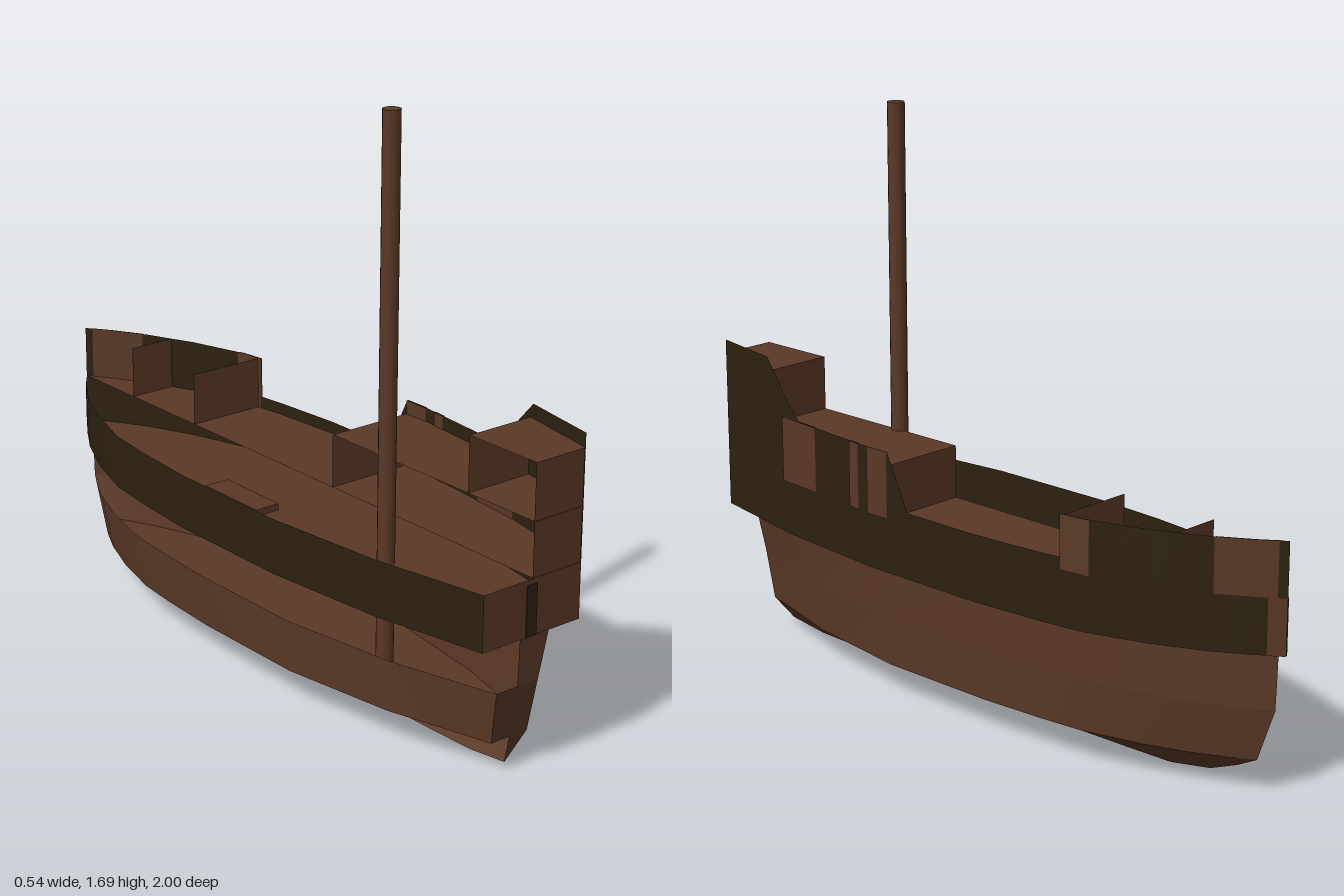
import * as THREE from 'three';

// Half-breadth of the upper hull along its length: [z, x], bow to stern
const OUTLINE = [[-1, 0], [-0.93, 0.05], [-0.83, 0.11], [-0.68, 0.178], [-0.5, 0.235], [-0.35, 0.254],
  [-0.13, 0.271], [0.28, 0.271], [0.66, 0.235], [0.84, 0.2], [1, 0.17]];

// Linear lookup in a list of [key, value] pairs
function lookup(table, t) {
  for (let i = 1; i < table.length; i++) {
    const [a, va] = table[i - 1], [b, vb] = table[i];
    if (t <= b) return va + (vb - va) * (t - a) / (b - a);
  }
  return table[table.length - 1][1];
}
const breadth = (z) => lookup(OUTLINE, z);

// Stations between two z values, with every outline knot and any extras
function stations(z0, z1, extras = []) {
  const inner = [...OUTLINE.map((p) => p[0]), ...extras].filter((z) => z > z0 && z < z1);
  return [...new Set([z0, ...inner, z1])].sort((a, b) => a - b);
}

// Surface stretched between two polylines of equal length
function strip(a, b) {
  const index = [];
  const n = a.length;
  for (let i = 0; i < n - 1; i++) index.push(i, i + 1, n + i, i + 1, n + i + 1, n + i);
  const geometry = new THREE.BufferGeometry();
  geometry.setAttribute('position', new THREE.Float32BufferAttribute([...a, ...b].flat(), 3));
  geometry.setIndex(index);
  geometry.computeVertexNormals();
  return geometry;
}

export function createModel() {
  const group = new THREE.Group();
  const wood = new THREE.MeshStandardMaterial({ name: 'brown wood', color: 0x5a3826, side: THREE.DoubleSide });
  const dark = new THREE.MeshStandardMaterial({ name: 'dark wood', color: 0x2c210f, side: THREE.DoubleSide });

  const add = (name, geometry, material) => {
    const mesh = new THREE.Mesh(geometry, material);
    mesh.name = name;
    group.add(mesh);
    return mesh;
  };

  // Waterline of one half: y, widest half-breadth, bow z, stern z and narrowing at the stern
  const ring = (side, y, half, bow, stern, pinch) => OUTLINE.map(([z, x]) => {
    const aft = Math.max(0, (z - 0.28) / 0.72);
    return [side * x * half / 0.271 * (1 - pinch * aft * aft), y, bow + (z + 1) / 2 * (stern - bow)];
  });
  const chine = (s) => ring(s, 0.1, 0.203, -0.915, 0.93, 0.5);
  const wale = (s) => ring(s, 0.255, 0.213, -0.97, 0.955, 0.45);
  const shelf = (s) => ring(s, 0.415, 0.216, -0.975, 0.96, 0.2);
  const bandLow = (s) => ring(s, 0.415, 0.271, -1, 1, 0);
  const bandTop = (s) => ring(s, 0.575, 0.271, -1, 1, 0);

  // Side shell with its flat stern panel
  function layer(name, low, top, material) {
    add(name, strip(low, top), material);
    const l = low[low.length - 1], t = top[top.length - 1];
    add(name + 'Transom', strip([l, [0, l[1], l[2]]], [t, [0, t[1], t[2]]]), wood);
  }

  // Keel and bottom on the left half
  const keelRise = [[-0.915, 0.1], [-0.83, 0.055], [-0.75, 0.025], [-0.6, 0], [0.75, 0], [0.92, 0.02]];
  const keel = chine(1).map(([, , z]) => [0, lookup(keelRise, z), Math.min(z, 0.915)]);
  layer('bottom', keel, chine(1), wood);
  layer('leftMiddlePlanks', wale(1), shelf(1), wood);
  for (const s of [1, -1]) {
    const label = s > 0 ? 'left' : 'right';
    layer(label + 'LowerPlanks', chine(s), wale(s), wood);
    layer(label + 'UpperBand', bandLow(s), bandTop(s), dark);
    // Lower floor, between the lower planks
    const edge = ring(s, 0.125, 0.203, -0.92, 0.932, 0.5);
    add(label + 'LowerDeck', strip(edge.map(([, y, z]) => [0, y, z]), edge), wood);
  }

  // Horizontal deck on one half, out to the hull side
  function deck(name, s, y, z0, z1) {
    const zs = stations(z0, z1);
    add(name, strip(zs.map((z) => [0, y, z]), zs.map((z) => [s * breadth(z) * 0.996, y, z])), wood);
  }
  deck('rightWell', -1, 0.43, -1, 1);
  deck('leftWell', 1, 0.43, -1, 1);
  deck('mainDeck', 1, 0.575, -1, 1);
  deck('quarterDeck', 1, 0.73, 0.2, 1);
  deck('poopDeck', 1, 0.89, 0.75, 1);

  // Cross walls on the left half
  function crossWall(name, z, y0, y1) {
    const x = breadth(z) * 0.99;
    add(name, strip([[0, y0, z], [x, y0, z]], [[0, y1, z], [x, y1, z]]), wood);
  }
  crossWall('bowWall', -0.75, 0.575, 0.73);
  crossWall('forecastleWall', -0.44, 0.575, 0.73);
  crossWall('cabinFrontWall', 0.2, 0.575, 0.73);
  crossWall('poopFrontWall', 0.75, 0.73, 0.89);
  crossWall('sternWall', 0.998, 0.575, 0.89);

  // Upright side wall whose top follows a [z, y] profile
  function sideWall(name, profile, material, side = 1, offset = 0, bottom = 0.575) {
    const zs = stations(profile[0][0], profile[profile.length - 1][0], profile.map((p) => p[0]));
    const edge = (z, y) => [side * (breadth(z) + offset), y, z];
    add(name, strip(zs.map((z) => edge(z, bottom)), zs.map((z) => edge(z, lookup(profile, z)))), material);
  }
  sideWall('bowBulwark', [[-1, 0.73], [-0.43, 0.73]], dark);
  sideWall('sternBulwark', [[-0.43, 0.61], [0.12, 0.61], [0.2, 0.77], [0.6, 0.77], [0.76, 0.93], [1, 0.93]], dark);

  // Brown panels on both faces of the bulwark
  const panels = [[-0.98, -0.84, 0.73], [-0.52, -0.43, 0.73], [0.2, 0.28, 0.77], [0.32, 0.36, 0.77], [0.52, 0.68, 0.77]];
  for (const offset of [0.003, -0.003]) {
    for (const [z0, z1, top] of panels) sideWall('bulwarkPanel', [[z0, top], [z1, top]], wood, 1, offset);
  }

  // Brown stem at the bow end of the band
  for (const s of [1, -1]) sideWall('stem', [[-1, 0.575], [-0.96, 0.575]], wood, s, 0.003, 0.415);

  // Dark post on the stern panel
  const post = add('sternPost', new THREE.BoxGeometry(0.036, 0.145, 0.006), dark);
  post.position.set(-0.003, 0.488, 1);

  // Hatch in the right well
  const hatch = add('hatch', new THREE.BoxGeometry(0.08, 0.02, 0.24), wood);
  hatch.position.set(-0.04, 0.44, -0.16);

  // Mast through the decks
  const mast = add('mast', new THREE.CylinderGeometry(0.025, 0.025, 1.565, 16), wood);
  mast.position.set(-0.005, 0.9075, 0.435);

  return group;
}
